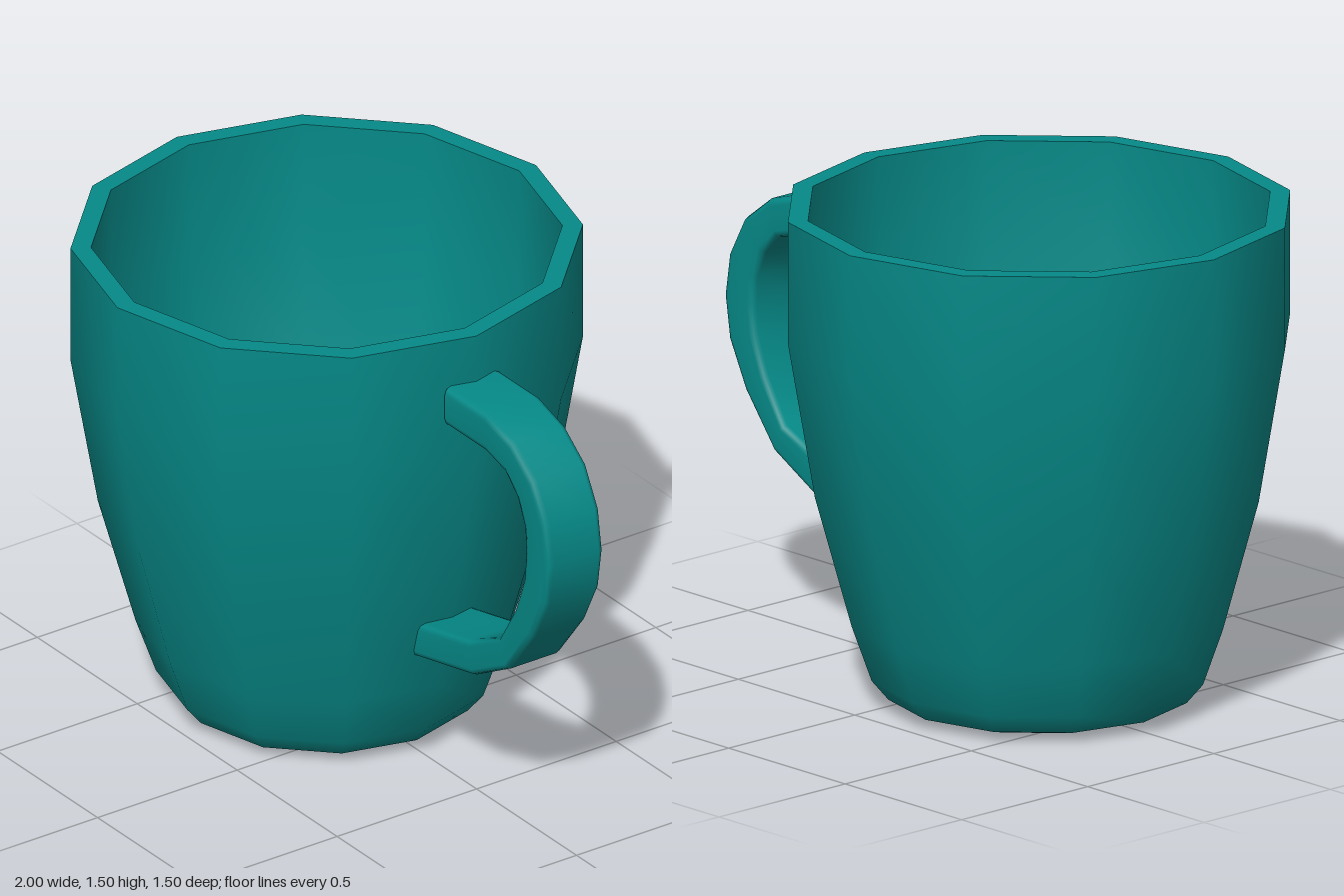
import * as THREE from 'three';

export function createModel() {
  const model = new THREE.Group();
  const teal = new THREE.MeshStandardMaterial({ color: 0x058a88 });
  teal.name = 'teal glaze';

  const add = (name, geometry, parent) => {
    const mesh = new THREE.Mesh(geometry, teal);
    mesh.name = name;
    parent.add(mesh);
  };

  // Twelve-sided cup; separate lathes keep the rim edges sharp
  const cup = new THREE.Group();
  cup.name = 'cup';
  cup.position.x = -0.25;
  model.add(cup);
  const turn = (profile) =>
    new THREE.LatheGeometry(profile.map(([r, y]) => new THREE.Vector2(r, y)), 12);

  add('outerWall', turn([[0, 0], [0.36, 0.003], [0.45, 0.03], [0.5, 0.09],
    [0.56, 0.26], [0.67, 0.66], [0.75, 1.13], [0.75, 1.5]]), cup);
  add('rim', turn([[0.75, 1.5], [0.69, 1.5]]), cup);
  add('innerWall', turn([[0.69, 1.5], [0.69, 1.13], [0.615, 0.68], [0.505, 0.28],
    [0.46, 0.14], [0.415, 0.085], [0.34, 0.06], [0, 0.06]]), cup);

  // Handle: each row is the outer x, y and the inner x, y of one cross-section
  const sections = [
    [0.48, 1.35, 0.48, 1.225], [0.68, 1.35, 0.68, 1.225], [0.81, 1.31, 0.775, 1.2],
    [0.915, 1.23, 0.835, 1.14], [0.98, 1.11, 0.87, 1.06], [1.0, 0.98, 0.875, 0.98],
    [0.98, 0.85, 0.868, 0.89], [0.91, 0.71, 0.825, 0.77], [0.785, 0.55, 0.745, 0.635],
    [0.615, 0.455, 0.595, 0.565], [0.32, 0.39, 0.35, 0.51],
  ];
  // Rounded rectangle: fraction from outer to inner edge, and z
  const outline = [];
  const corners = [[0.18, 0.08, 1, -1], [0.82, 0.08, 1, 1], [0.82, -0.08, -1, 1], [0.18, -0.08, -1, -1]];
  corners.forEach(([t, z, sz, st], i) => {
    for (let k = 0; k < 3; k++) {
      const a = (k * Math.PI) / 4;
      const [c, s] = i % 2 ? [Math.sin(a), Math.cos(a)] : [Math.cos(a), Math.sin(a)];
      outline.push([t + st * 0.18 * c, z + sz * 0.02 * s]);
    }
  });
  const n = outline.length;
  const ring = ([ox, oy, ix, iy]) =>
    outline.flatMap(([t, z]) => [ox + (ix - ox) * t, oy + (iy - oy) * t, z]);

  const build = (positions, index) => {
    const g = new THREE.BufferGeometry();
    g.setAttribute('position', new THREE.Float32BufferAttribute(positions, 3));
    g.setIndex(index);
    g.computeVertexNormals();
    return g;
  };

  const handle = new THREE.Group();
  handle.name = 'handle';
  model.add(handle);
  const faces = [];
  for (let i = 0; i < sections.length - 1; i++) {
    for (let j = 0; j < n; j++) {
      const a = i * n + j, b = i * n + ((j + 1) % n);
      faces.push(a, b, a + n, b, b + n, a + n);
    }
  }
  add('handleLoop', build(sections.flatMap(ring), faces), handle);

  // Flat ends where the handle meets the cup
  const cap = (section, flip) => {
    const index = [];
    for (let j = 1; j < n - 1; j++) index.push(0, ...(flip ? [j + 1, j] : [j, j + 1]));
    return build(ring(section), index);
  };
  add('upperHandleEnd', cap(sections[0], true), handle);
  add('lowerHandleEnd', cap(sections[sections.length - 1], false), handle);

  return model;
}
